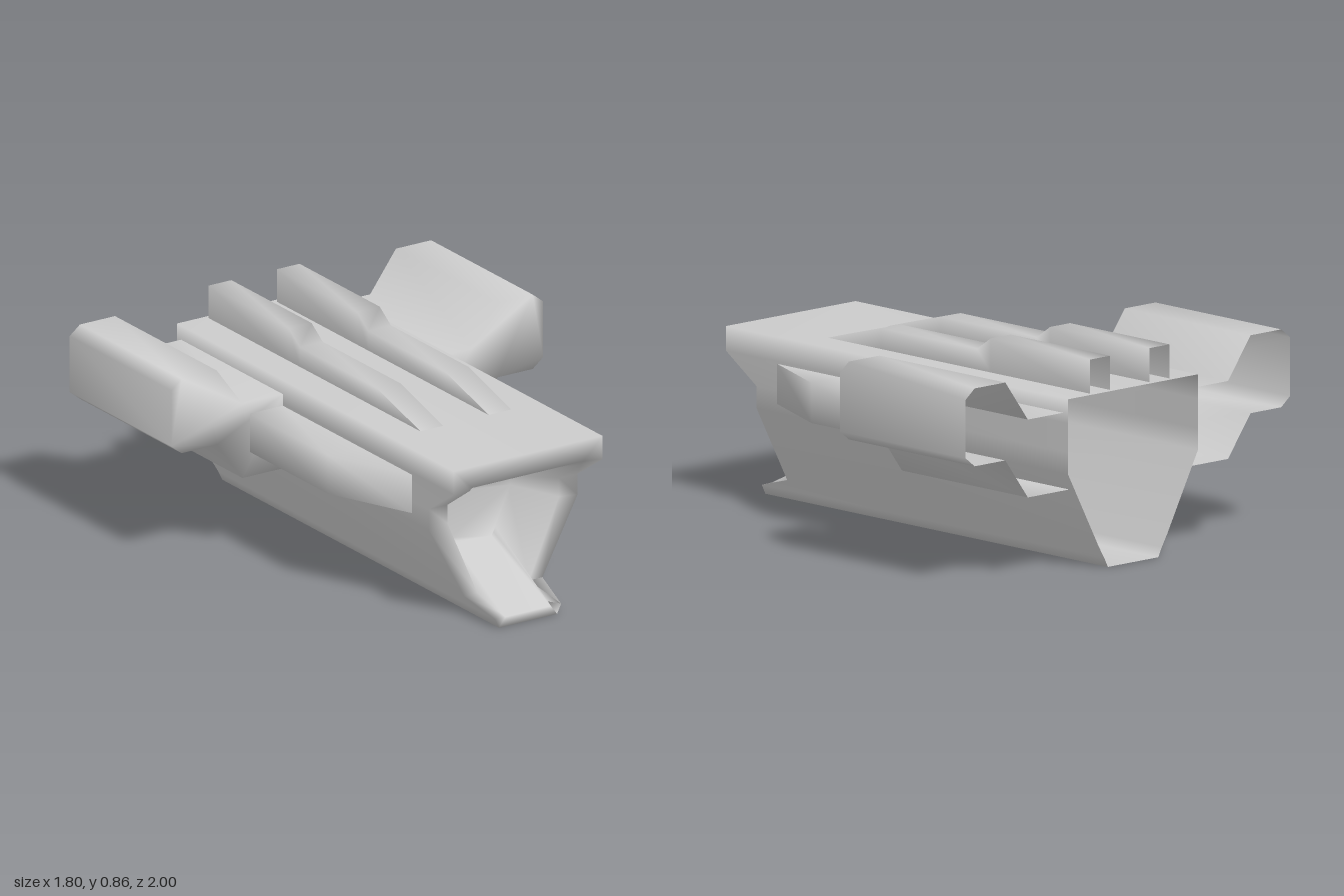
import * as THREE from 'three';

const material = new THREE.MeshStandardMaterial({ color: 0xcccccc, side: THREE.DoubleSide });

// Skin through rings of [x, y, z], each counter-clockwise seen from the front.
function loft(name, rings, { closed = false, cap = false } = {}) {
  const n = rings[0].length;
  const index = [];
  for (let i = 0; i < rings.length - 1; i++) {
    for (let j = 0; j < (closed ? n : n - 1); j++) {
      const k = (j + 1) % n;
      const a = i * n + j, b = i * n + k, c = a + n, d = b + n;
      index.push(a, b, d, a, d, c);
    }
  }
  if (cap) {
    const last = rings.length - 1;
    const outline = rings[last].map(([x, y]) => new THREE.Vector2(x, y));
    for (const face of THREE.ShapeUtils.triangulateShape(outline, [])) {
      index.push(...face.map((v) => last * n + v));
    }
  }
  const geometry = new THREE.BufferGeometry();
  geometry.setAttribute('position', new THREE.Float32BufferAttribute(rings.flat(2), 3));
  geometry.setIndex(index);
  geometry.computeVertexNormals();
  const mesh = new THREE.Mesh(geometry, material);
  mesh.name = name;
  return mesh;
}

const mirrorRing = (ring) => ring.map(([x, y, z]) => [-x, y, z]).reverse();
const fullRing = (half) => [...half, ...mirrorRing(half)];
const atZ = (points, z) => points.map(([x, y]) => [x, y, z]);

export function createModel() {
  const model = new THREE.Group();

  // Hull: open at the back, stepped mouth and funnel at the front
  const mouth = [
    [0.14, 0, 1], [0.16, 0.04, 1], [0.19, 0.09, 0.82], [0.36, 0.41, 0.82],
    [0.36, 0.5, 0.82], [0.36, 0.62, 1], [0.36, 0.72, 1],
  ];
  const innerRim = [
    [0.11, 0.04, 1], [0.115, 0.05, 0.97], [0.125, 0.09, 0.82], [0.27, 0.42, 0.82],
    [0.27, 0.5, 0.82], [0.27, 0.61, 0.98], [0.27, 0.63, 1],
  ];
  const funnelEnd = atZ([
    [0.09, 0.22], [0.1, 0.235], [0.11, 0.255], [0.18, 0.38],
    [0.18, 0.42], [0.18, 0.46], [0.18, 0.505],
  ], 0.6);
  const hullBack = mouth.map(([x, y]) => [x, y, -1]);
  model.add(loft('hull', [hullBack, mouth, innerRim, funnelEnd].map(fullRing),
    { closed: true, cap: true }));

  // Cranked wing pod, closed in front and open behind
  const podOutline = [
    [0.325, 0.34], [0.555, 0.34], [0.68, 0.51], [0.85, 0.51], [0.9, 0.55],
    [0.9, 0.79], [0.85, 0.83], [0.68, 0.83], [0.555, 0.66], [0.36, 0.66],
  ];
  const pod = [atZ(podOutline, -0.97), atZ(podOutline, -0.235)];

  // Side sponson tapering into the hull
  const sponson = [[0.52, -0.235], [0.52, 0.33], [0.36, 0.7]].map(([x, z]) =>
    atZ([[0.36, 0.445], [x, 0.445], [x, 0.61], [0.36, 0.61]], z));

  // Top rail with two ramps
  const rail = [[0.86, -0.98], [0.86, -0.4], [0.805, -0.56 + 0.24], [0.805, 0.24], [0.72, 0.55]]
    .map(([h, z]) => atZ([[0.22, 0.72], [0.22, h], [0.11, h], [0.11, 0.72]], z));

  for (const [side, place] of [['left', (r) => r], ['right', mirrorRing]]) {
    model.add(loft(`${side}WingPod`, pod.map(place), { cap: true }));
    model.add(loft(`${side}Sponson`, sponson.map(place)));
    model.add(loft(`${side}TopRail`, rail.map(place)));
  }
  return model;
}
